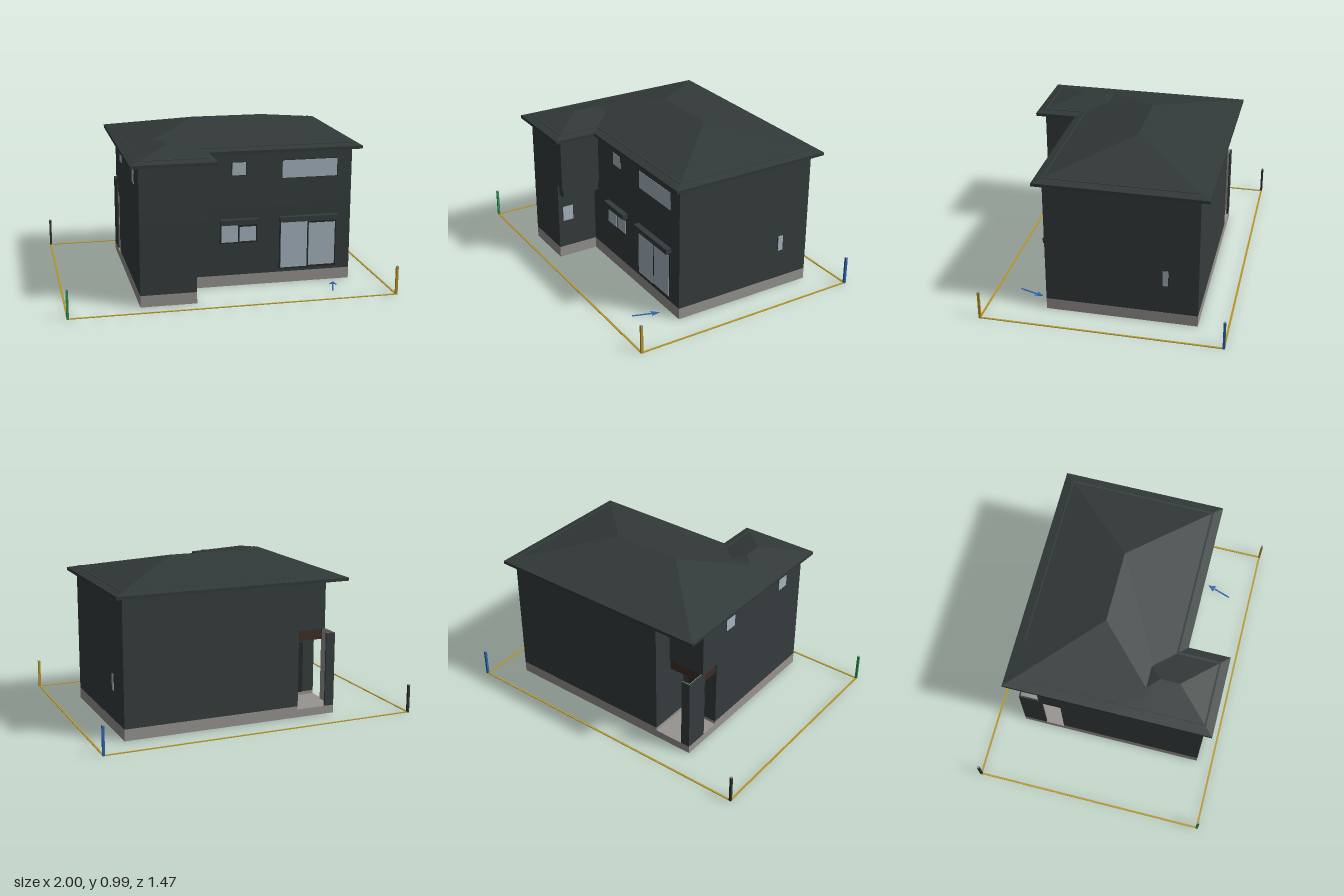
import * as THREE from 'three';

const mat = (name, color) => {
  const m = new THREE.MeshStandardMaterial({ color });
  m.name = name;
  return m;
};

export function createModel() {
  const M = {
    wall: mat('charcoal wall', 0x353c3d),
    roof: mat('slate roof', 0x313938),
    stone: mat('concrete', 0x979490),
    glass: mat('pale glass', 0xa6b4bf),
    wood: mat('dark brown wood', 0x3f2c25),
    frame: mat('window frame', 0x24292a),
    yellow: mat('ochre marker', 0xb8962a),
    green: mat('green marker', 0x2f9455),
    blue: mat('blue marker', 0x2f66b4),
    black: mat('black marker', 0x333333),
  };
  const house = new THREE.Group();
  house.name = 'house';

  const add = (name, geometry, material, parent = house) => {
    const mesh = new THREE.Mesh(geometry, material);
    mesh.name = name;
    parent.add(mesh);
    return mesh;
  };

  // Box given by its limits on each axis
  const box = (name, material, x0, x1, y0, y1, z0, z1, parent = house) => {
    const g = new THREE.BoxGeometry(x1 - x0, y1 - y0, z1 - z0);
    g.translate((x0 + x1) / 2, (y0 + y1) / 2, (z0 + z1) / 2);
    return add(name, g, material, parent);
  };

  // Floor plan of [x, z] points raised from y0 to y1; a hole runs the opposite way round
  const toPlan = (pts) => pts.map(([x, z]) => new THREE.Vector2(x, -z));
  const storey = (name, material, pts, y0, y1, hole) => {
    const shape = new THREE.Shape(toPlan(pts));
    if (hole) shape.holes.push(new THREE.Path(toPlan(hole).reverse()));
    const g = new THREE.ExtrudeGeometry(shape, { depth: y1 - y0, bevelEnabled: false });
    g.rotateX(-Math.PI / 2);
    g.translate(0, y0, 0);
    return add(name, g, material);
  };

  // Plan with a front wing and a porch notch; i insets every edge
  const plan = (porchZ, wingX, i = 0) => [
    [-0.56 + i, porchZ + i], [-0.31 + i, porchZ + i], [-0.31 + i, -0.55 + i], [0.81 - i, -0.55 + i],
    [0.81 - i, 0.37 - i], [wingX - i, 0.37 - i], [wingX - i, 0.63 - i], [-0.56 + i, 0.63 - i],
  ];

  // Foundation ring, floor and storeys; wall tops just break through the roof
  storey('foundation', M.stone, plan(-0.28, -0.22), 0, 0.071, plan(-0.28, -0.22, 0.025));
  storey('floorUnderside', M.wood, plan(-0.28, -0.22, 0.024), 0.06, 0.071);
  storey('groundFloorWalls', M.wall, plan(-0.28, -0.22), 0.071, 0.51);
  storey('upperFloorWalls', M.wall, plan(-0.42, -0.153), 0.51, 0.88);
  box('wingOverhangBand', M.wall, -0.23, -0.165, 0.445, 0.51, 0.36, 0.618);

  // Entrance porch with an L-shaped screen at the corner
  box('porchSlab', M.stone, -0.56, -0.27, 0, 0.05, -0.55, -0.24);
  box('porchBeam', M.wood, -0.55, -0.31, 0.445, 0.51, -0.41, -0.28);
  box('porchCeiling', M.wood, -0.56, -0.31, 0.838, 0.846, -0.55, -0.42);
  box('porchScreenSide', M.wall, -0.56, -0.55, 0.05, 0.515, -0.55, -0.4);
  box('porchScreenBack', M.wall, -0.55, -0.5, 0.05, 0.515, -0.55, -0.54);
  box('screenSideLining', M.stone, -0.55, -0.546, 0.05, 0.515, -0.54, -0.4);
  box('screenBackLining', M.stone, -0.546, -0.5, 0.05, 0.515, -0.54, -0.536);
  box('entranceDoor', M.frame, -0.48, -0.36, 0.071, 0.4, -0.286, -0.28);

  // Hip roof on a fascia slab, equal pitch on all sides
  const eave = 0.865, pitch = 0.244;
  const hipRoof = (name, x0, x1, z0, z1) => {
    const half = Math.min(x1 - x0, z1 - z0) / 2, top = eave + half * pitch;
    const A = [x0 + half, top, z0 + half], B = [x1 - half, top, z1 - half];
    const alongX = x1 - x0 > z1 - z0;
    const a = [x0, eave, z0], b = [x1, eave, z0], c = [x1, eave, z1], d = [x0, eave, z1];
    const ridge = new Map([[a, A], [b, alongX ? B : A], [c, B], [d, alongX ? A : B]]);
    const pos = [];
    for (const [p, q] of [[d, c], [c, b], [b, a], [a, d]]) {
      const rp = ridge.get(p), rq = ridge.get(q);
      pos.push(...p, ...q, ...rq);
      if (rp !== rq) pos.push(...p, ...rq, ...rp);
    }
    const g = new THREE.BufferGeometry();
    g.setAttribute('position', new THREE.Float32BufferAttribute(pos, 3));
    g.computeVertexNormals();
    add(name, g, M.roof);
    box(name + 'Fascia', M.roof, x0, x1, 0.846, eave, z0, z1);
  };
  hipRoof('mainRoof', -0.615, 0.86, -0.605, 0.42);
  hipRoof('wingRoof', -0.615, -0.105, 0.05, 0.68);

  // Window built facing +z, then turned; panes are [u0, u1, y0, y1],
  // m is the frame margin and d how far the unit stands out
  const windowUnit = (name, panes, place, turn = 0, m = 0.003, d = 0.002) => {
    const g = new THREE.Group();
    g.name = name;
    const lo = (k) => Math.min(...panes.map((p) => p[k]));
    const hi = (k) => Math.max(...panes.map((p) => p[k]));
    box('windowFrame', M.frame, lo(0) - m, hi(1) + m, lo(2) - m, hi(3) + m, -0.004, d, g);
    panes.forEach(([u0, u1, y0, y1]) => box('windowPane', M.glass, u0, u1, y0, y1, 0, d + 0.002, g));
    g.rotation.y = turn;
    g.position.set(...place);
    house.add(g);
  };
  const front = [0, 0, 0.37], R = Math.PI / 2;
  windowUnit('smallUpperWindow', [[0.05, 0.136, 0.706, 0.785]], front);
  windowUnit('wideUpperWindow', [[0.366, 0.715, 0.675, 0.785]], front);
  windowUnit('slidingWindow', [[-0.018, 0.088, 0.285, 0.393], [0.098, 0.202, 0.288, 0.38]], front, 0, 0.008, 0.007);
  windowUnit('patioDoor', [[0.36, 0.53, 0.1, 0.393], [0.54, 0.71, 0.105, 0.38]], front, 0, 0.008, 0.007);
  box('windowShutterBox', M.wall, -0.025, 0.215, 0.4, 0.432, 0.36, 0.406);
  box('patioShutterBox', M.wall, 0.348, 0.722, 0.4, 0.432, 0.36, 0.406);
  windowUnit('leftSideWindow', [[-0.017, 0.017, 0.255, 0.355]], [0.81, 0, -0.353], R);
  windowUnit('wingWindow', [[-0.035, 0.035, 0.255, 0.355]], [-0.22, 0, 0.565], R);
  for (const z of [-0.15, 0.415]) {
    windowUnit('rightSideWindow', [[-0.042, 0.042, 0.705, 0.785]], [-0.56, 0, z], -R);
  }

  // Plot boundary with a coloured, pale-capped post at each corner
  const X = 0.993, Z = 0.73, t = 0.006;
  for (const s of [-1, 1]) {
    box('boundaryLine', M.yellow, -X, X, 0, 0.004, s * Z - t, s * Z + t);
    box('boundaryLine', M.yellow, s * X - t, s * X + t, 0, 0.004, -Z, Z);
  }
  const posts = [[-X, Z, M.green], [X, Z, M.yellow], [X, -Z, M.blue], [-X, -Z, M.black]];
  for (const [x, z, m] of posts) {
    box('cornerPost', m, x - 0.007, x + 0.007, 0, 0.176, z - 0.007, z + 0.007);
    box('postCap', M.stone, x - 0.007, x + 0.007, 0.176, 0.18, z - 0.007, z + 0.007);
  }

  // Flat direction arrow on the ground
  const arrow = new THREE.Shape(toPlan([
    [0, 0], [0.024, 0.05], [0.005, 0.045], [0.005, 0.165],
    [-0.005, 0.165], [-0.005, 0.045], [-0.024, 0.05],
  ]));
  const arrowGeo = new THREE.ExtrudeGeometry(arrow, { depth: 0.003, bevelEnabled: false });
  arrowGeo.rotateX(-Math.PI / 2);
  const pointer = add('groundArrow', arrowGeo, M.blue);
  pointer.position.set(0.69, 0, 0.43);
  pointer.rotation.y = -0.32;

  return house;
}
